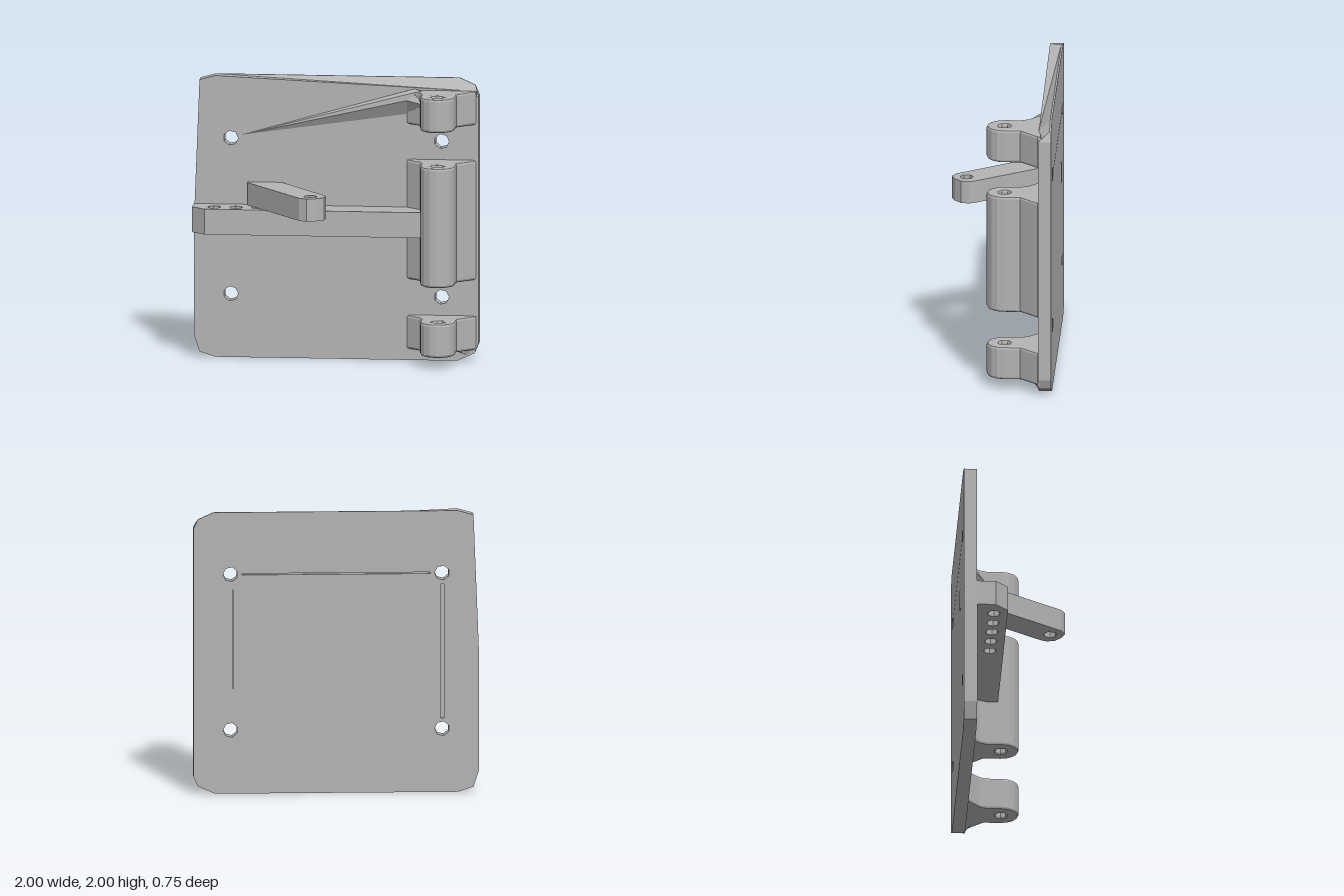
import * as THREE from 'three';

const grey = new THREE.MeshStandardMaterial({ color: 0xb4b4b4, flatShading: true, side: THREE.DoubleSide });
grey.name = 'plain grey';

const toShape = (pts) => new THREE.Shape(pts.map(([x, y]) => new THREE.Vector2(x, y)));

// polygonal round opening
function ring(x, y, r, sides = 7) {
  const pts = [];
  for (let i = 0; i < sides; i++) {
    const a = (i / sides) * Math.PI * 2;
    pts.push(new THREE.Vector2(x + r * Math.cos(a), y + r * Math.sin(a)));
  }
  return new THREE.Path(pts);
}

function slot(x0, y0, x1, y1) {
  return new THREE.Path([[x0, y0], [x1, y0], [x1, y1], [x0, y1]].map(([x, y]) => new THREE.Vector2(x, y)));
}

function addMesh(parent, name, geometry) {
  const mesh = new THREE.Mesh(geometry, grey);
  mesh.name = name;
  parent.add(mesh);
  return mesh;
}

// extrude an (x, z) outline upward from y0 to y1
function upright(outline, holes, y0, y1, bevel = 0) {
  const shape = toShape(outline.map(([x, z]) => [x, -z]));
  holes.forEach(([x, z, r]) => shape.holes.push(ring(x, -z, r)));
  const g = new THREE.ExtrudeGeometry(shape, {
    depth: y1 - y0 - 2 * bevel, bevelEnabled: bevel > 0,
    bevelThickness: bevel, bevelSize: bevel, bevelOffset: -bevel, bevelSegments: 2,
  });
  g.rotateX(-Math.PI / 2);
  g.translate(0, y0 + bevel, 0);
  return g;
}

// mounting plate outline with clipped corners
const plateOutline = [
  [-0.85, 0.005], [0.85, 0.005], [0.97, 0.06], [1, 0.13], [1, 1.88], [0.97, 1.95],
  [0.86, 2], [-0.85, 2], [-0.96, 1.97], [-1, 0.95], [-1, 0.16], [-0.96, 0.04],
];
const screwHoles = [[-0.74, 1.56], [0.74, 1.56], [-0.74, 0.455], [0.74, 0.455]];

function plateLayer(z0, z1, slots = []) {
  const shape = toShape(plateOutline);
  screwHoles.forEach(([x, y]) => shape.holes.push(ring(x, y, 0.052)));
  shape.holes.push(...slots);
  const g = new THREE.ExtrudeGeometry(shape, { depth: z1 - z0, bevelEnabled: false });
  return g.translate(0, 0, z0);
}

export function createModel() {
  const model = new THREE.Group();
  model.name = 'hingedPlate';

  // plate front layer: the upper front edge slopes down toward the hinge side
  const front = plateLayer(-0.36, -0.28);
  const p = front.attributes.position;
  for (let i = 0; i < p.count; i++) {
    if (p.getZ(i) > -0.3 && p.getY(i) > 1.94 && p.getX(i) > 0) p.setY(i, p.getY(i) - 0.075);
  }
  front.computeVertexNormals();
  addMesh(model, 'plate', front);

  // thin back layer with shallow grooves between the screw holes
  addMesh(model, 'plateBack', plateLayer(-0.372, -0.36, [
    slot(-0.755, 0.53, -0.73, 1.48),
    slot(-0.66, 1.555, 0.66, 1.565),
    slot(0.72, 0.75, 0.726, 1.45),
  ]));

  // hinge knuckles: round barrel flaring into a wide foot
  const knuckle = [[0.49, -0.3], [0.49, -0.28], [0.59, -0.19], [0.612, -0.14]];
  for (let i = 0; i <= 8; i++) {
    const a = Math.PI * (1 - i / 8);
    knuckle.push([0.735 + 0.123 * Math.cos(a), -0.033 + 0.123 * Math.sin(a)]);
  }
  knuckle.push([0.858, -0.15], [0.985, -0.28], [0.985, -0.3]);
  const pinHole = [[0.735, -0.035, 0.045]];
  [['lowerKnuckle', 0.085, 0.325], ['middleKnuckle', 0.58, 1.43], ['upperKnuckle', 1.68, 1.92]]
    .forEach(([name, y0, y1]) => addMesh(model, name, upright(knuckle, pinHole, y0, y1, 0.018)));

  // foot slabs filling each knuckle base to its full width
  [[0.085, 0.325], [0.58, 1.43], [1.68, 1.92]].forEach(([y0, y1]) => {
    const g = new THREE.BoxGeometry(0.495, y1 - y0 - 0.01, 0.02);
    addMesh(model, 'knuckleFoot', g).position.set(0.7375, (y0 + y1) / 2, -0.285);
  });

  // long thin rib tapering from the upper knuckle toward a screw hole
  const tip = [-0.66, 1.585, -0.279];
  const top = [0.6, 1.925, -0.22], ridge = [0.5, 1.855, -0.22], low = [0.5, 1.75, -0.281], back = [0.55, 1.93, -0.281];
  const ledge = [0.62, 1.84, -0.15];
  const faces = [[tip, ridge, top], [tip, low, ridge], [tip, top, back], [ridge, ledge, top], [ridge, low, ledge]];
  const rib = new THREE.BufferGeometry();
  rib.setAttribute('position', new THREE.Float32BufferAttribute(faces.flat(2), 3));
  rib.computeVertexNormals();
  addMesh(model, 'taperedRib', rib);

  // small gusset under the lower knuckle
  const gusset = new THREE.BufferGeometry();
  gusset.setAttribute('position', new THREE.Float32BufferAttribute([
    [0.8, 0.11, -0.2], [0.92, 0.045, -0.279], [0.97, 0.1, -0.279],
    [0.8, 0.11, -0.2], [0.8, 0.09, -0.279], [0.92, 0.045, -0.279],
  ].flat(), 3));
  gusset.computeVertexNormals();
  addMesh(model, 'lowerGusset', gusset);

  // horizontal bar with a row of adjustment holes
  const barHoles = [-0.845, -0.69, -0.54, -0.385, -0.23].map((x) => [x, -0.155, 0.047]);
  addMesh(model, 'bar', upright(
    [[-1, -0.285], [-1, -0.15], [-0.905, -0.06], [0.64, -0.06], [0.64, -0.285]], barHoles, 0.91, 1.09));

  // slanted lever resting on the bar
  addMesh(model, 'lever', upright([
    [-0.62, -0.285], [-0.62, -0.25], [-0.2, 0.345], [-0.145, 0.375], [-0.08, 0.35],
    [-0.03, 0.305], [-0.02, 0.25], [-0.04, 0.205], [-0.385, -0.285],
  ], [[-0.13, 0.27, 0.047]], 1.09, 1.25));

  // end of the lever pivot showing through the back
  const pivot = addMesh(model, 'leverPivotEnd', new THREE.BoxGeometry(0.05, 0.14, 0.02));
  pivot.position.set(-0.49, 1.175, -0.369);

  return model;
}
